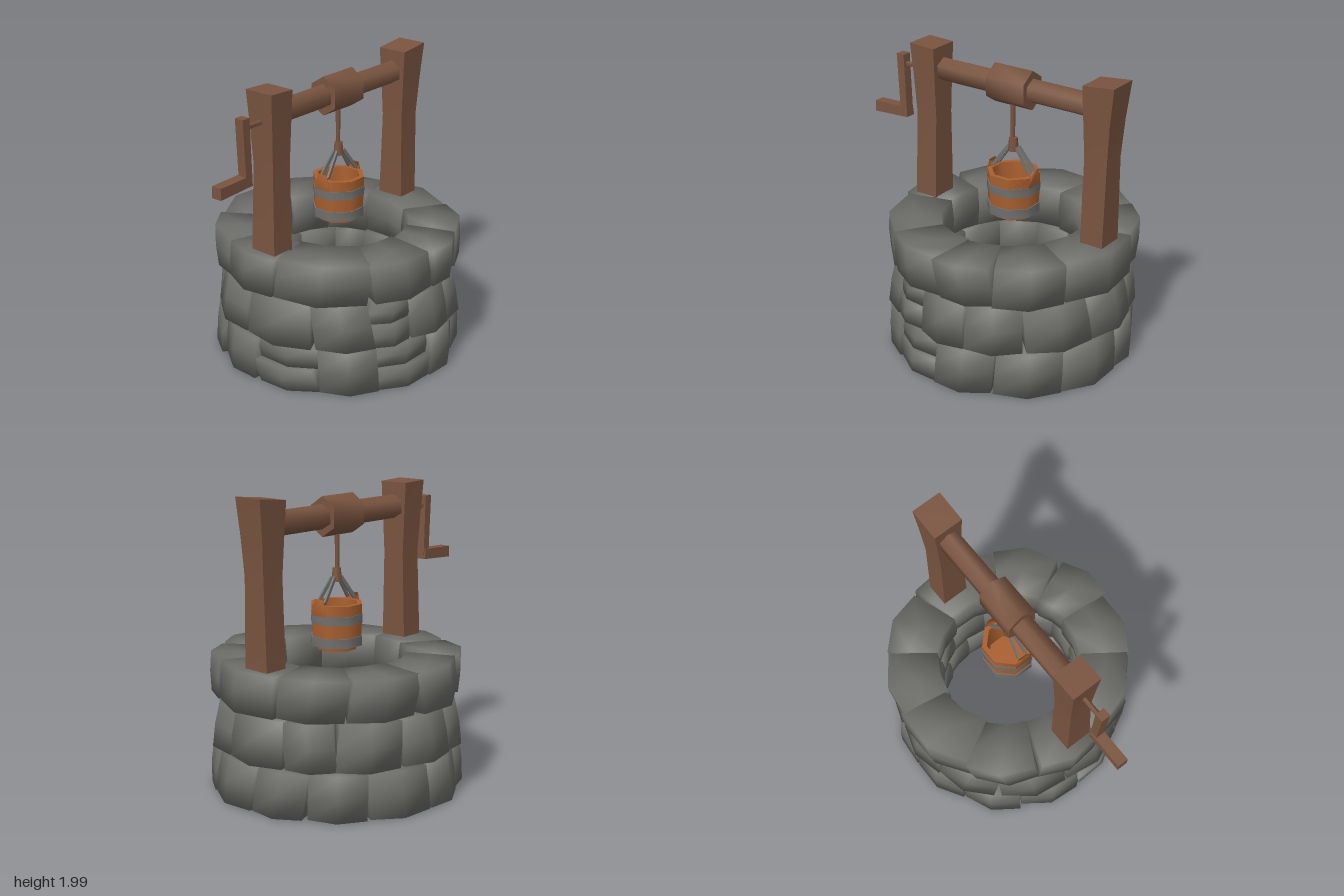
import * as THREE from 'three';
import { mergeVertices, toCreasedNormals } from 'three/addons/utils/BufferGeometryUtils.js';

const mat = (name, color) => {
  const m = new THREE.MeshStandardMaterial({ color });
  m.name = name;
  return m;
};

export function createModel() {
  const stone = mat('stone grey', 0x6b6c67);
  const wood = mat('dark wood', 0x79543f);
  const orange = mat('bucket wood', 0xa9602f);
  const metal = mat('metal grey', 0x70716f);
  orange.side = metal.side = THREE.DoubleSide;

  const model = new THREE.Group();
  const CX = 0.155; // axis of the well shaft and bucket
  let seed = 7;
  const rnd = (a) => {
    seed = (seed * 16807) % 2147483647;
    return (seed / 2147483647 * 2 - 1) * a;
  };
  const add = (name, geo, material, parent = model) => {
    const mesh = new THREE.Mesh(geo, material);
    mesh.name = name;
    parent.add(mesh);
    return mesh;
  };

  // Box whose vertices are moved by a rule taking unit coordinates from -1 to 1
  function shapedBox(seg, rule) {
    const g = new THREE.BoxGeometry(2, 2, 2, ...seg);
    g.deleteAttribute('normal');
    g.deleteAttribute('uv');
    const m = mergeVertices(g);
    const p = m.attributes.position;
    for (let i = 0; i < p.count; i++) p.setXYZ(i, ...rule(p.getX(i), p.getY(i), p.getZ(i)));
    m.computeVertexNormals();
    return m;
  }

  // Wedge-shaped, slightly bulging stone between two angles and two heights
  function addStone(parent, a0, a1, y0, y1, inner, outer, flare) {
    const tilt = rnd(0.035), lean = rnd(0.008), twist = rnd(0.018);
    const mid = (a0 + a1) / 2, half = (a1 - a0) / 2;
    add('stone', shapedBox([2, 2, 2], (u, v, w) => {
      const t = (w + 1) / 2;
      const a = mid + u * half * (1 - 0.02 * t) + v * tilt * t;
      const r = inner + (outer - inner) * t + v * (lean - flare) * t + u * twist
        + (w > 0 ? -0.03 * u * u - 0.008 * v * v : w < 0 ? 0.015 * v * v : 0);
      const y = (y0 + y1) / 2 + v * (y1 - y0) / 2 * (1 - 0.04 * u * u * t);
      return [r * Math.sin(a), y, r * Math.cos(a)];
    }), stone, parent);
  }

  // Three courses; cuts are joint angles, split lists stones made of two thin layers
  const courses = [
    { y0: 0.01, y1: 0.312, outer: 0.845, flare: 0.01, split: [0, 2],
      cuts: [-1.6, -1.05, -0.55, -0.04, 0.46, 1.02, 1.6, 2.07, 2.55, 3.1, 3.62, 4.14] },
    { y0: 0.325, y1: 0.625, outer: 0.825, flare: 0.026, split: [1],
      cuts: [-1.1, -0.6, -0.24, 0.215, 0.7, 1.29, 1.87, 2.3, 2.85, 3.4, 3.95, 4.55] },
    { y0: 0.642, y1: 0.918, outer: 0.842, flare: -0.004, split: [],
      cuts: [-1.42, -0.62, -0.03, 0.45, 1.04, 1.82, 2.4, 3, 3.72, 4.3] },
  ];
  courses.forEach(({ y0, y1, outer, flare, split, cuts }, c) => {
    const ring = new THREE.Group();
    ring.name = 'stoneCourse' + (c + 1);
    ring.position.x = CX;
    cuts.forEach((cut, i) => {
      const a0 = cut + 0.004;
      const a1 = (i + 1 < cuts.length ? cuts[i + 1] : cuts[0] + Math.PI * 2) - 0.004;
      if (split.includes(i)) {
        const ym = (y0 + y1) / 2 + 0.01;
        addStone(ring, a0, a1, y0, ym - 0.005, 0.48, outer, 0.005);
        addStone(ring, a0 - 0.02, a1 + 0.03, ym, y1, 0.47, outer - 0.03, 0.005);
      } else addStone(ring, a0, a1, y0, y1, 0.465, outer, flare);
    });
    model.add(ring);
  });

  // Posts: four rows of [y, xMin, xMax, zMin, zMax], with a sloping top
  function addPost(name, rows, slope) {
    const g = shapedBox([2, 3, 2], (u, v, w) => {
      const k = Math.round((v + 1) * 1.5);
      const [y, x0, x1, z0, z1] = rows[k];
      const cap = k === 3 ? u * slope : 0;
      return [x0 + (x1 - x0) * (u + 1) / 2, y + cap, z0 + (z1 - z0) * (w + 1) / 2];
    });
    add(name, toCreasedNormals(g, 0.6), wood);
  }
  addPost('rightPost', [
    [0.88, -0.60, -0.43, -0.10, 0.093],
    [1.5, -0.585, -0.425, -0.085, 0.078],
    [1.75, -0.598, -0.423, -0.097, 0.09],
    [1.988, -0.615, -0.42, -0.11, 0.102]], -0.004);
  addPost('leftPost', [
    [0.88, 0.74, 0.905, -0.10, 0.093],
    [1.5, 0.745, 0.91, -0.085, 0.078],
    [1.75, 0.737, 0.927, -0.097, 0.09],
    [1.988, 0.73, 0.955, -0.11, 0.102]], 0.012);

  // Horizontal six-sided axle, winding drum and crank shaft
  function addBar(name, x0, x1, y, z, r, depth) {
    const g = new THREE.CylinderGeometry(r, r, x1 - x0, 6);
    g.rotateY(Math.PI / 2);
    g.rotateZ(Math.PI / 2);
    g.scale(1, 1, depth);
    const bar = add(name, toCreasedNormals(g, 1.2), wood);
    bar.position.set((x0 + x1) / 2, y, z);
  }
  addBar('axle', -0.46, 0.78, 1.82, -0.007, 0.081, 0.97);
  addBar('windingDrum', 0, 0.295, 1.82, -0.005, 0.132, 0.88);
  addBar('crankShaft', -0.76, -0.55, 1.795, -0.005, 0.018, 1);

  // Extruded crank outline: leaning arm and grip
  const plate = (name, pts, z0, z1) => {
    const shape = new THREE.Shape(pts.map(([x, y]) => new THREE.Vector2(x, y)));
    const g = new THREE.ExtrudeGeometry(shape, { depth: z1 - z0, bevelEnabled: false });
    g.translate(0, 0, z0);
    add(name, g, wood);
  };
  plate('crankArm', [[-0.772, 1.42], [-0.718, 1.42], [-0.735, 1.865], [-0.795, 1.865]], -0.035, 0.03);
  plate('crankGrip', [[-1, 1.405], [-0.718, 1.42], [-0.73, 1.49], [-1, 1.482]], -0.045, 0.03);

  // Rope and knot
  add('rope', new THREE.CylinderGeometry(0.018, 0.014, 0.27, 6), wood).position.set(0.147, 1.58, 0);
  add('knot', new THREE.CylinderGeometry(0.028, 0.037, 0.09, 6), wood).position.set(0.152, 1.425, 0);

  // Eight-sided open bucket
  const bucket = new THREE.Group();
  bucket.name = 'bucket';
  bucket.position.x = CX;
  model.add(bucket);
  const lathe = (name, pts, material) => {
    const g = new THREE.LatheGeometry(pts.map(([r, y]) => new THREE.Vector2(r, y)), 8, Math.PI / 8);
    add(name, toCreasedNormals(g.toNonIndexed(), 0.9), material, bucket);
  };
  lathe('bucketWall', [[0, 0.965], [0.168, 0.96], [0.176, 1.1], [0.178, 1.24], [0.145, 1.24], [0.138, 0.98], [0, 0.98]], orange);
  lathe('bucketFoot', [[0, 0.932], [0.135, 0.932], [0.14, 0.966]], orange);
  const band = (y0, y1, r) => lathe('bucketBand', [[r - 0.008, y0], [r, y0], [r + 0.002, y1], [r - 0.006, y1]], metal);
  band(0.96, 1.025, 0.177);
  band(1.112, 1.172, 0.18);

  // Bucket ears and the flat straps rising to the knot
  for (const s of [-1, 1]) {
    add('bucketEar', shapedBox([1, 1, 1], (u, v, w) => [
      s * (0.158 + (v > 0 ? 0.004 : 0)) + u * 0.012,
      v > 0 ? 1.262 + s * u * 0.022 : 1.17,
      w * (v > 0 ? 0.035 : 0.065)]), orange, bucket);
    for (const t of [-1, 1]) {
      const from = new THREE.Vector3(s * 0.145, 1.255, t * 0.03);
      const to = new THREE.Vector3(s * 0.03, 1.41, t * 0.012);
      const strap = add('bucketStrap', new THREE.BoxGeometry(0.014, 0.024, from.distanceTo(to)), metal, bucket);
      strap.position.copy(from).add(to).multiplyScalar(0.5);
      strap.lookAt(to.clone().add(new THREE.Vector3(CX, 0, 0)));
    }
  }
  return model;
}
